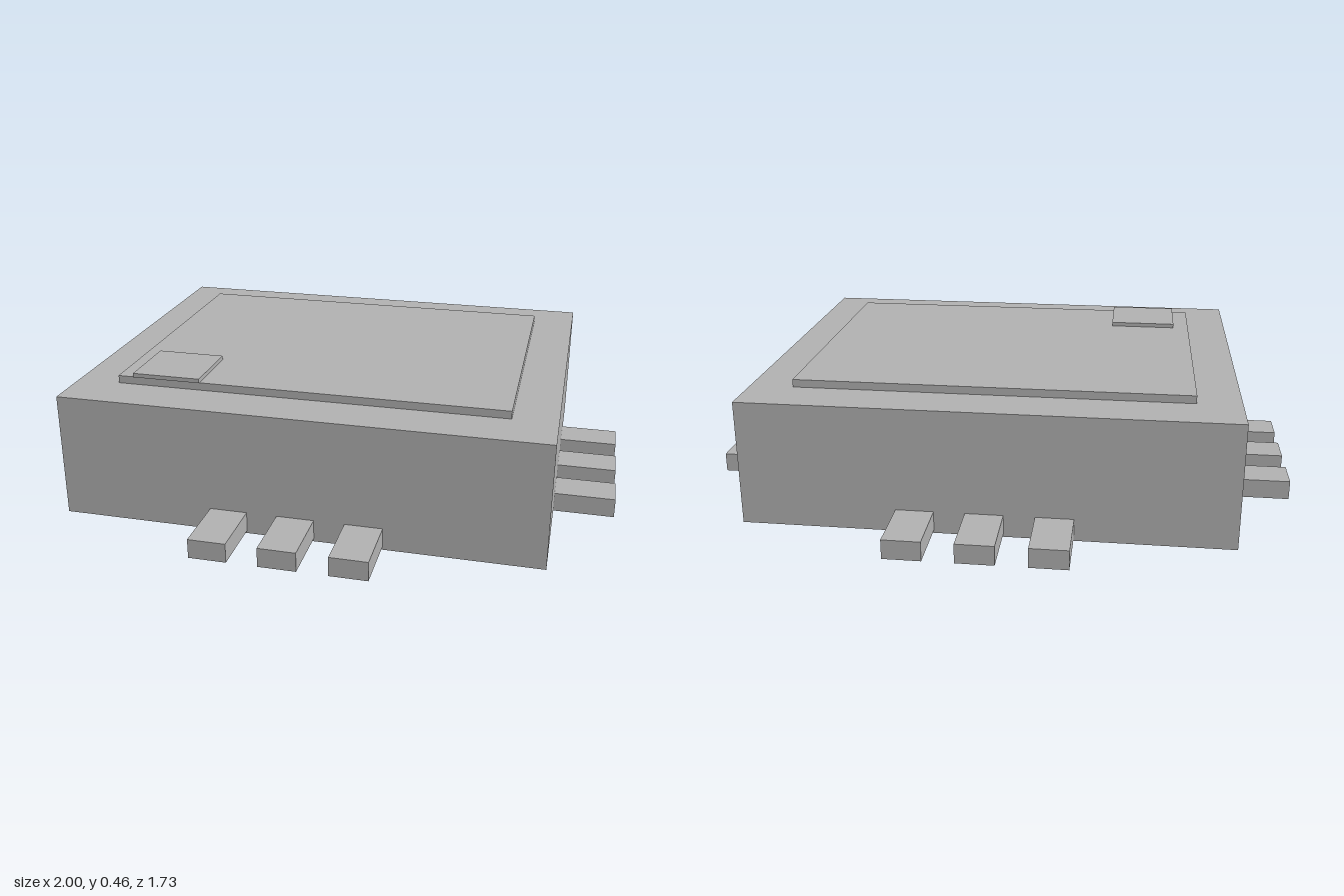
import * as THREE from 'three';

export function createModel() {
  const model = new THREE.Group();
  const grey = new THREE.MeshStandardMaterial({ color: 0xb0b0b0 });
  grey.name = 'grey';

  // Box given by its extents along each axis
  const addBox = (name, [x0, x1], [y0, y1], [z0, z1]) => {
    const mesh = new THREE.Mesh(new THREE.BoxGeometry(x1 - x0, y1 - y0, z1 - z0), grey);
    mesh.position.set((x0 + x1) / 2, (y0 + y1) / 2, (z0 + z1) / 2);
    mesh.name = name;
    model.add(mesh);
  };

  // Chip package: body, raised lid and corner marker
  addBox('body', [-0.8, 0.8], [0, 0.42], [-0.66, 0.66]);
  addBox('lid', [-0.655, 0.655], [0.42, 0.446], [-0.496, 0.496]);
  addBox('cornerMarker', [-0.6, -0.368], [0.446, 0.46], [0.268, 0.5]);

  // Three pins on each of the four sides
  const pinHeight = [0.01, 0.075];
  for (const c of [-0.225, 0, 0.225]) {
    const across = [c - 0.062, c + 0.062];
    addBox('leftPin', [0.8, 1], pinHeight, across);
    addBox('rightPin', [-1, -0.8], pinHeight, across);
    addBox('frontPin', across, pinHeight, [0.66, 0.867]);
    addBox('backPin', across, pinHeight, [-0.867, -0.66]);
  }
  return model;
}
